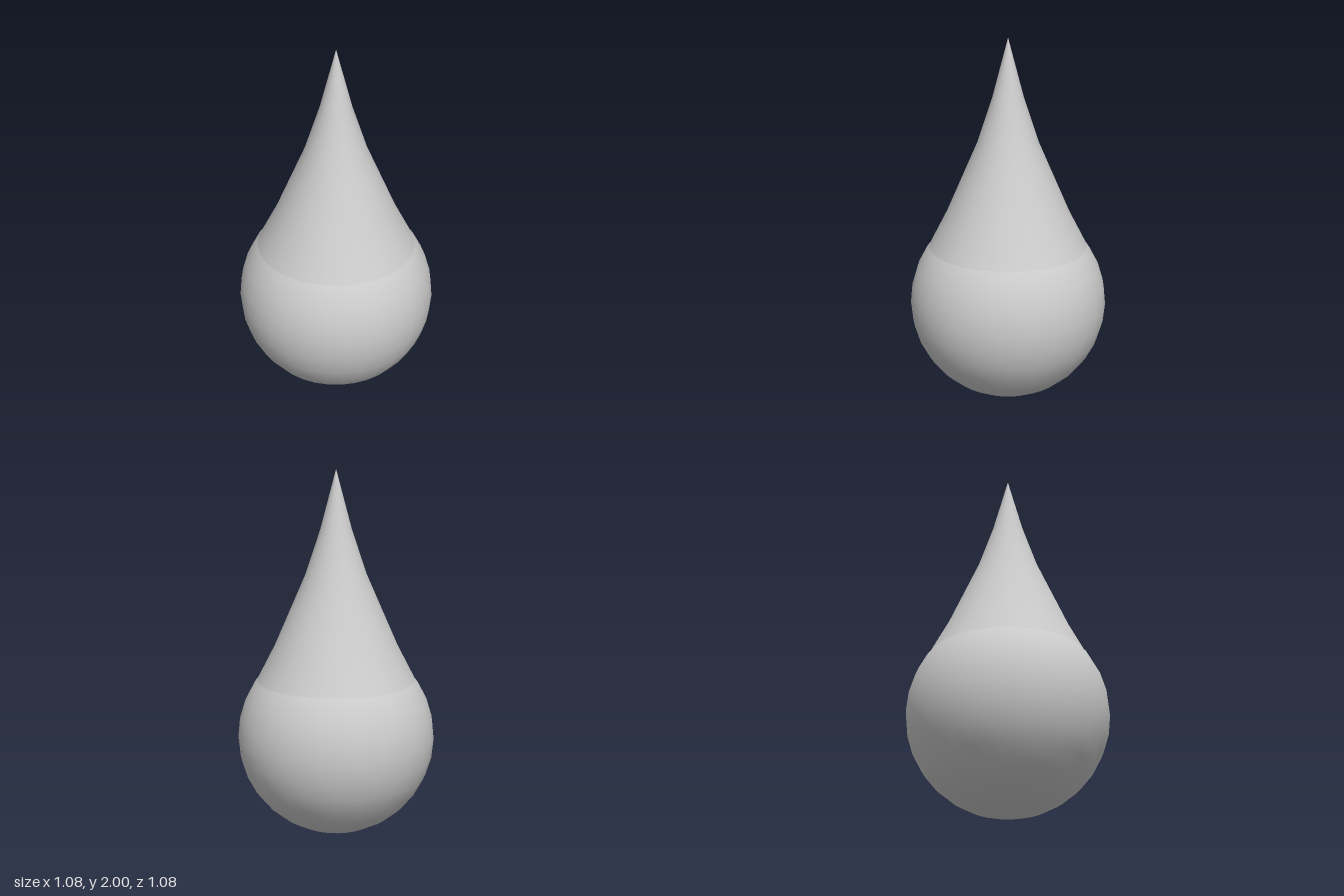
import * as THREE from 'three';

export function createModel() {
  const group = new THREE.Group();
  const material = new THREE.MeshStandardMaterial({ color: 0xcccccc });
  const radius = 0.54;
  const segments = 32;

  // Round lower body
  const bulb = new THREE.Mesh(new THREE.SphereGeometry(radius, segments, 16), material);
  bulb.name = 'bulb';
  bulb.position.y = radius;
  group.add(bulb);

  // Flared tip, its lower end sunk into the bulb
  const profile = [
    [0.46, 0.8], [0.428, 0.87], [0.335, 1.05], [0.25, 1.245],
    [0.165, 1.44], [0.085, 1.68], [0, 2],
  ].map(([x, y]) => new THREE.Vector2(x, y));
  const tip = new THREE.Mesh(new THREE.LatheGeometry(profile, segments), material);
  tip.name = 'tip';
  group.add(tip);

  return group;
}
